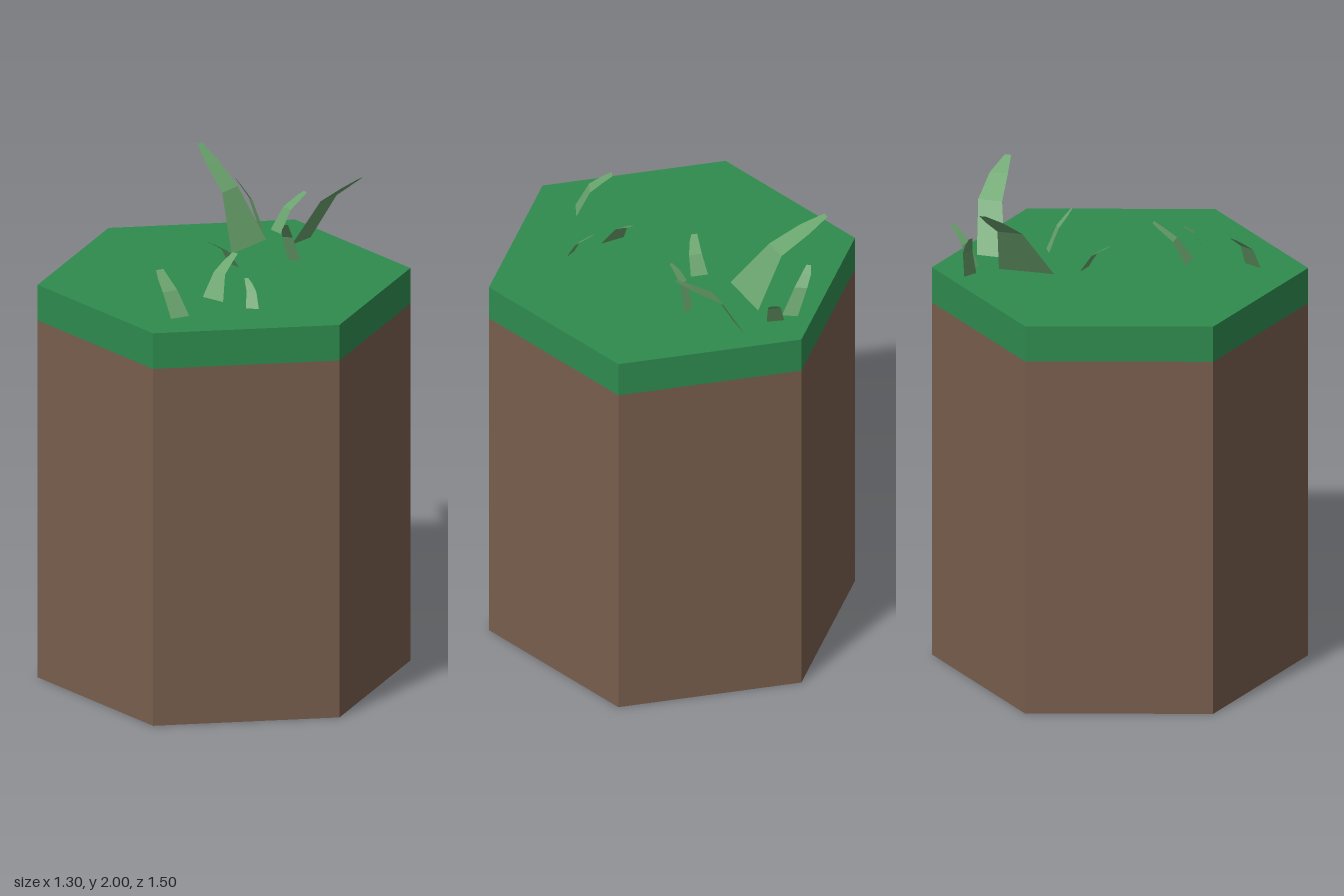
import * as THREE from 'three';

const GROUND = 1.655;
const SOIL_TOP = 1.505;

// Hexagonal prism with a corner pointing to the front
function hexPrism(name, bottom, top, color) {
  const geometry = new THREE.CylinderGeometry(0.75, 0.75, top - bottom, 6);
  const mesh = new THREE.Mesh(geometry, new THREE.MeshStandardMaterial({ color, flatShading: true }));
  mesh.position.y = (top + bottom) / 2;
  mesh.name = name;
  return mesh;
}

// Curved, tapering strip: base corners a and b, tip centre, each as [x, z]
function bladeGeometry({ a, b, tip, top, mid, end, bow }) {
  const rise = [0, 0.6, 0.84, 1];
  const lean = [0, 0.38, 0.74, 1];
  const width = [1, mid, mid * 0.75, end];
  const side = [0, 1, 0.65, 0];
  const dx = b[0] - a[0], dz = b[1] - a[1], length = Math.hypot(dx, dz);
  const cx = (a[0] + b[0]) / 2, cz = (a[1] + b[1]) / 2;
  const positions = [], index = [];
  for (let i = 0; i < 4; i++) {
    for (const s of [-0.5, 0.5]) {
      const across = s * width[i] + (side[i] * bow) / length;
      positions.push(
        cx + (tip[0] - cx) * lean[i] + dx * across,
        GROUND + (top - GROUND) * rise[i],
        cz + (tip[1] - cz) * lean[i] + dz * across
      );
    }
    if (i < 3) index.push(2 * i, 2 * i + 1, 2 * i + 3, 2 * i, 2 * i + 3, 2 * i + 2);
  }
  const geometry = new THREE.BufferGeometry();
  geometry.setAttribute('position', new THREE.Float32BufferAttribute(positions, 3));
  geometry.setIndex(index);
  geometry.computeVertexNormals();
  return geometry;
}

const BLADES = [
  { a: [0.19, -0.195], b: [0.41, -0.255], tip: [0.308, -0.557], top: 2.0, mid: 0.45, end: 0.12, bow: 0 },
  { a: [0.45, -0.14], b: [0.565, -0.165], tip: [0.592, 0.128], top: 1.98, mid: 0.85, end: 0.22, bow: 0.03 },
  { a: [0.465, -0.34], b: [0.485, -0.4], tip: [0.42, -0.46], top: 1.85, mid: 0.8, end: 0.3, bow: 0.015 },
  { a: [0.495, -0.27], b: [0.5, -0.34], tip: [0.617, -0.265], top: 1.81, mid: 0.75, end: 0.35, bow: 0 },
  { a: [0.115, -0.05], b: [0.115, -0.12], tip: [-0.005, -0.092], top: 1.775, mid: 0.75, end: 0.35, bow: -0.008 },
  { a: [0.36, 0.035], b: [0.325, -0.005], tip: [0.262, 0.068], top: 1.835, mid: 0.8, end: 0.25, bow: 0.015 },
  { a: [-0.195, 0.245], b: [-0.22, 0.145], tip: [-0.063, 0.155], top: 1.81, mid: 0.55, end: 0.25, bow: 0.01 },
  { a: [-0.17, 0.36], b: [-0.135, 0.4], tip: [-0.118, 0.297], top: 1.755, mid: 0.75, end: 0.3, bow: 0.006 },
  { a: [-0.485, 0.28], b: [-0.405, 0.295], tip: [-0.435, 0.142], top: 1.815, mid: 0.8, end: 0.4, bow: -0.01 },
];

export function createModel() {
  const model = new THREE.Group();
  model.name = 'grassTile';

  // Soil column and turf layer
  model.add(hexPrism('soil', 0, SOIL_TOP, 0x785e4d));
  model.add(hexPrism('turf', SOIL_TOP, GROUND, 0x2e8b4e));

  // Grass blades
  const grass = new THREE.Group();
  grass.name = 'grassBlades';
  const material = new THREE.MeshStandardMaterial({ color: 0x6aa36d, flatShading: true, side: THREE.DoubleSide });
  BLADES.forEach((blade, i) => {
    const mesh = new THREE.Mesh(bladeGeometry(blade), material);
    mesh.name = `grassBlade${i + 1}`;
    grass.add(mesh);
  });
  model.add(grass);
  return model;
}
